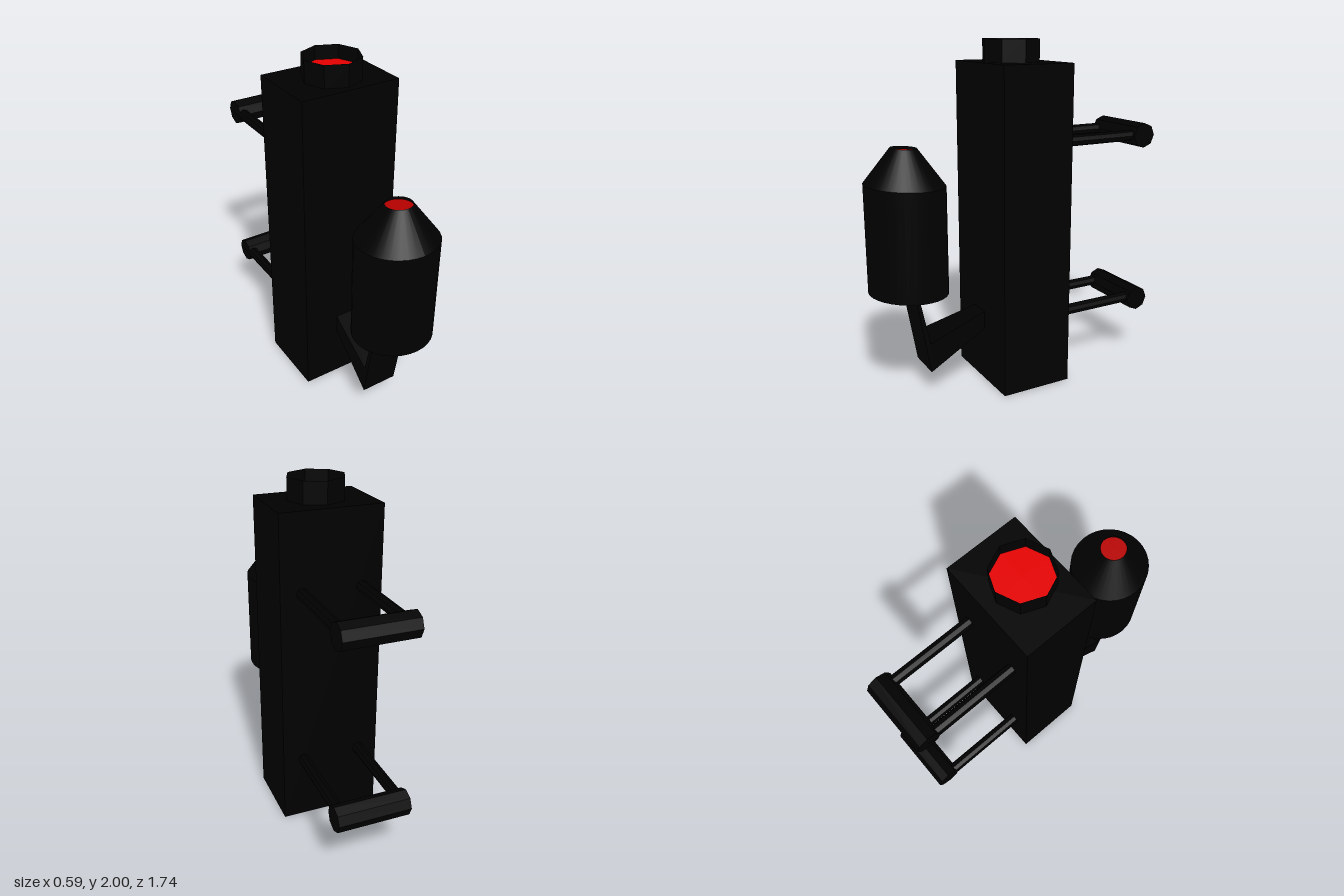
import * as THREE from 'three';

const black = new THREE.MeshStandardMaterial({ color: 0x000000, side: THREE.DoubleSide });
const blackFlat = new THREE.MeshStandardMaterial({ color: 0x000000, side: THREE.DoubleSide, flatShading: true });
const red = new THREE.MeshStandardMaterial({ color: 0xe70000 });
const darkRed = new THREE.MeshStandardMaterial({ color: 0xb80000 });

function add(parent, name, geometry, material, x = 0, y = 0, z = 0) {
  const mesh = new THREE.Mesh(geometry, material);
  mesh.name = name;
  mesh.position.set(x, y, z);
  parent.add(mesh);
  return mesh;
}

// Lean a shape so that its front sits slightly higher than its back
function lean(geometry, slope) {
  const p = geometry.attributes.position;
  for (let i = 0; i < p.count; i++) p.setY(i, p.getY(i) + slope * p.getZ(i));
  geometry.computeVertexNormals();
  return geometry;
}

// Back handle: two rods reaching back to an eight-sided crossbar
function makeHandle(name, rodY, barY) {
  const handle = new THREE.Group();
  handle.name = name;
  for (const x of [-0.178, 0.168]) {
    const rod = new THREE.CylinderGeometry(0.033, 0.033, 0.6, 8).rotateX(Math.PI / 2);
    add(handle, 'handleRod', rod, blackFlat, x, rodY, -0.5);
  }
  const bar = new THREE.CylinderGeometry(0.074, 0.074, 0.42, 8).rotateZ(Math.PI / 2);
  add(handle, 'handleBar', bar, blackFlat, 0.005, barY, -0.797);
  return handle;
}

// Bent bracket: a side profile given width, narrower where it meets the body
function makeBracket() {
  const profile = [[0.18, 0.441], [0.563, 0.325], [0.634, 0.66], [0.651, 0.66], [0.563, 0.15], [0.18, 0.335]];
  const shape = new THREE.Shape(profile.map(([z, y]) => new THREE.Vector2(-z, y)));
  const g = new THREE.ExtrudeGeometry(shape, { depth: 1, bevelEnabled: false }).translate(0, 0, -0.5);
  g.rotateY(Math.PI / 2);
  const p = g.attributes.position;
  for (let i = 0; i < p.count; i++) {
    const t = Math.min(1, (p.getZ(i) - 0.2) / 0.363);
    p.setX(i, -0.023 + p.getX(i) * (0.13 + 0.085 * t));
  }
  g.computeVertexNormals();
  return g;
}

export function createModel() {
  const model = new THREE.Group();
  model.name = 'tank';

  // Main body
  add(model, 'body', new THREE.BoxGeometry(0.59, 1.875, 0.43), blackFlat, -0.003, 0.9375, -0.015);

  // Open octagonal neck with a red floor inside
  add(model, 'neck', new THREE.CylinderGeometry(0.166, 0.166, 0.13, 8, 1, true), blackFlat, 0, 1.935, 0);
  add(model, 'neckFloor', new THREE.CircleGeometry(0.165, 8).rotateX(-Math.PI / 2), red, 0, 1.92, 0);

  // Handles on the back
  model.add(makeHandle('upperHandle', 1.43, 1.43));
  model.add(makeHandle('lowerHandle', 0.392, 0.385));

  // Bracket that holds the bottle
  add(model, 'bracket', makeBracket(), blackFlat);

  // Bottle with a tapered shoulder and a red mouth
  const bottle = new THREE.Group();
  bottle.name = 'bottle';
  bottle.position.set(-0.017, 0, 0.645);
  const tilt = 0.067;
  const wall = new THREE.CylinderGeometry(0.225, 0.225, 0.615, 32, 1, true).translate(0, 0.9325, 0);
  const shoulder = new THREE.CylinderGeometry(0.073, 0.225, 0.2, 32, 1, true).translate(0, 1.34, 0);
  const base = new THREE.CircleGeometry(0.225, 32).rotateX(Math.PI / 2).translate(0, 0.625, 0);
  const mouth = new THREE.CircleGeometry(0.078, 32).rotateX(-Math.PI / 2).translate(0, 1.422, 0);
  add(bottle, 'bottleWall', lean(wall, tilt), black);
  add(bottle, 'bottleShoulder', lean(shoulder, tilt), black);
  add(bottle, 'bottleBase', lean(base, tilt), black);
  add(bottle, 'bottleMouth', lean(mouth, tilt), darkRed);
  model.add(bottle);

  return model;
}
